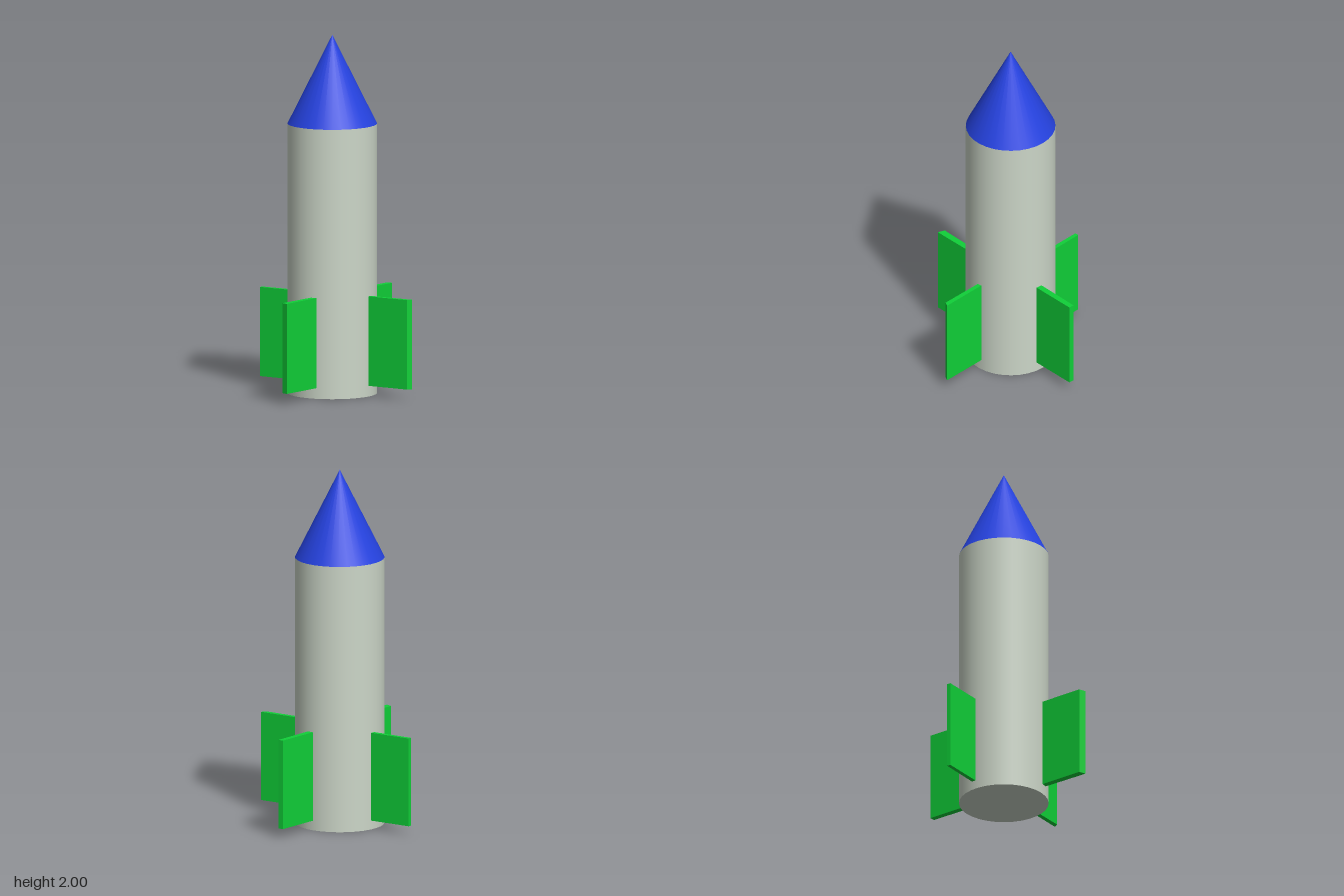
import * as THREE from 'three';

export function createModel() {
  const hull = new THREE.MeshStandardMaterial({ color: 0xccd6c8 });
  hull.name = 'hull grey';
  const blue = new THREE.MeshStandardMaterial({ color: 0x2542e0 });
  blue.name = 'nose blue';
  const green = new THREE.MeshStandardMaterial({ color: 0x10d038 });
  green.name = 'fin green';

  const model = new THREE.Group();
  model.name = 'rocket';
  const add = (name, geometry, material, x = 0, y = 0, z = 0) => {
    const mesh = new THREE.Mesh(geometry, material);
    mesh.name = name;
    mesh.position.set(x, y, z);
    model.add(mesh);
  };

  // Body and nose share one slightly off-centre axis
  const cx = -0.014, cz = -0.006, radius = 0.248, bodyHeight = 1.505;
  const noseHeight = 2 - bodyHeight;
  add('body', new THREE.CylinderGeometry(radius, radius, bodyHeight, 32), hull, cx, bodyHeight / 2, cz);
  add('noseCone', new THREE.ConeGeometry(radius, noseHeight, 32), blue, cx, bodyHeight + noseHeight / 2, cz);

  // Fins: slightly uneven plates, each a plan outline [x, z] raised from y0 to y1
  const fins = [
    ['leftFin', 0.06, 0.56, [[0.15, -0.019], [0.505, -0.022], [0.49, 0.005], [0.15, 0.005]]],
    ['rightFin', 0.05, 0.548, [[-0.15, -0.053], [-0.507, -0.047], [-0.507, -0.025], [-0.15, -0.027]]],
    ['frontFin', 0.06, 0.563, [[0.014, 0.15], [-0.009, 0.497], [0.03, 0.512], [0.046, 0.15]]],
    ['backFin', 0.054, 0.556, [[-0.012, -0.15], [0.012, -0.516], [0.043, -0.514], [0.025, -0.15]]],
  ];
  for (const [name, y0, y1, outline] of fins) {
    const shape = new THREE.Shape(outline.map(([x, z]) => new THREE.Vector2(x, -z)));
    const geometry = new THREE.ExtrudeGeometry(shape, { depth: y1 - y0, bevelEnabled: false });
    geometry.rotateX(-Math.PI / 2);
    add(name, geometry, green, 0, y0, 0);
  }

  return model;
}
